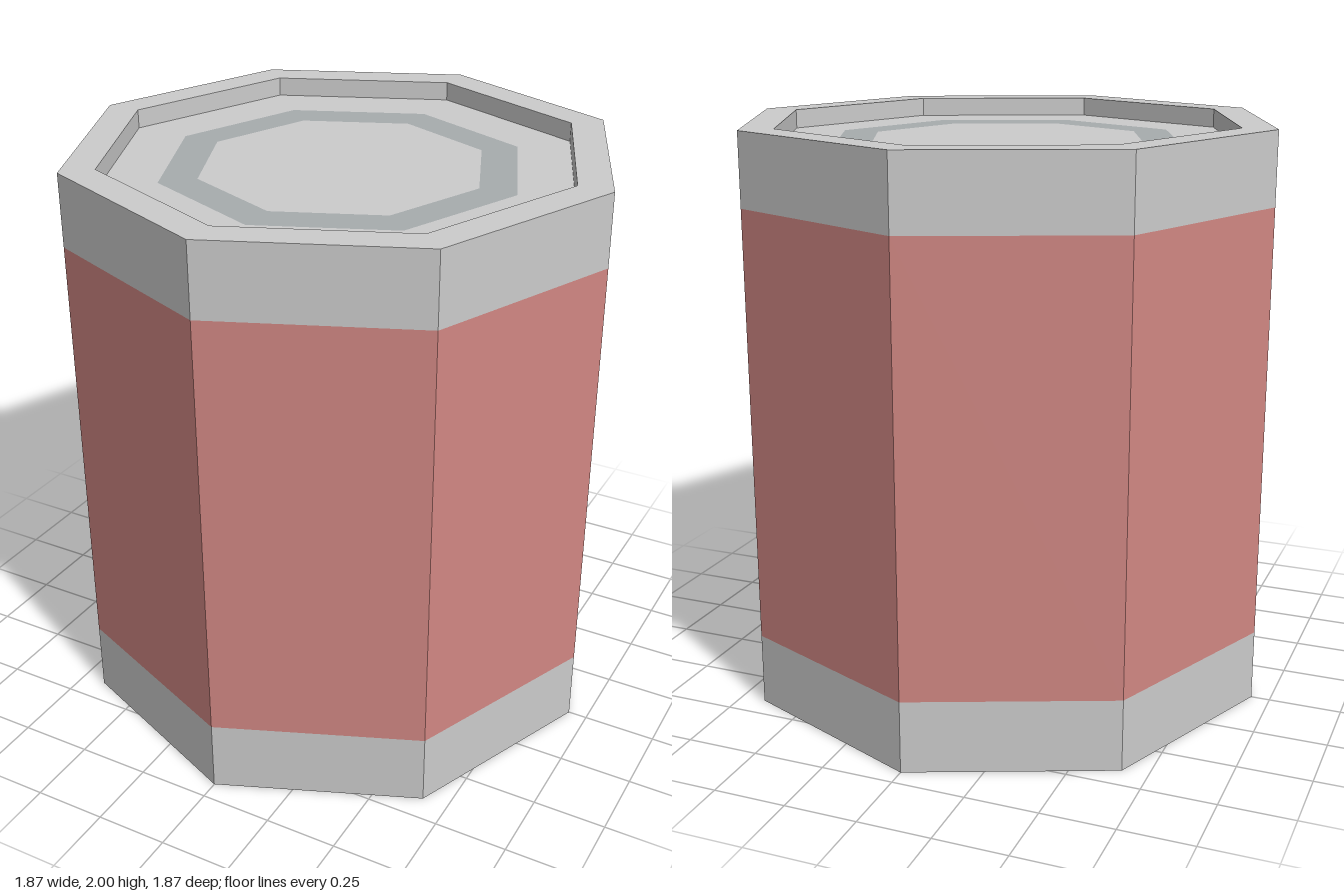
import * as THREE from 'three';

const R = 0.935;      // outer radius at the corners
const RIM = 0.815;    // inner radius of the rims
const DEPTH = 0.065;  // how far the lids are sunk
const BAND = [0.25, 1.75];
const RING = [0.49, 0.62];

const paint = (color) => new THREE.MeshStandardMaterial({ color, flatShading: true });

// Eight-sided surface from a profile of [radius, height] running bottom, outside, top
function octagon(name, profile, material) {
  const points = profile.map(([r, y]) => new THREE.Vector2(r, y));
  const geometry = new THREE.LatheGeometry(points, 8).toNonIndexed();
  geometry.computeVertexNormals();
  const mesh = new THREE.Mesh(geometry, material);
  mesh.name = name;
  return mesh;
}

export function createModel() {
  const can = new THREE.Group();
  can.name = 'can';
  const metal = paint(0xcccccc);
  const label = paint(0xd18783);
  const groove = paint(0xa7acae);
  const top = 2 - DEPTH;

  can.add(
    // Sunk bottom, lower rim and lower metal band
    octagon('bottomCap', [[0, DEPTH], [RIM, DEPTH], [RIM, 0], [R, 0], [R, BAND[0]]], metal),
    // Coloured wrap around the middle
    octagon('label', [[R, BAND[0]], [R, BAND[1]]], label),
    // Upper metal band, rim and sunk lid up to the ring
    octagon('topCap', [[R, BAND[1]], [R, 2], [RIM, 2], [RIM, top], [RING[1], top]], metal),
    // Darker ring on the lid, and the lid centre
    octagon('lidRing', [[RING[1], top], [RING[0], top]], groove),
    octagon('lidCentre', [[RING[0], top], [0, top]], metal)
  );
  return can;
}
